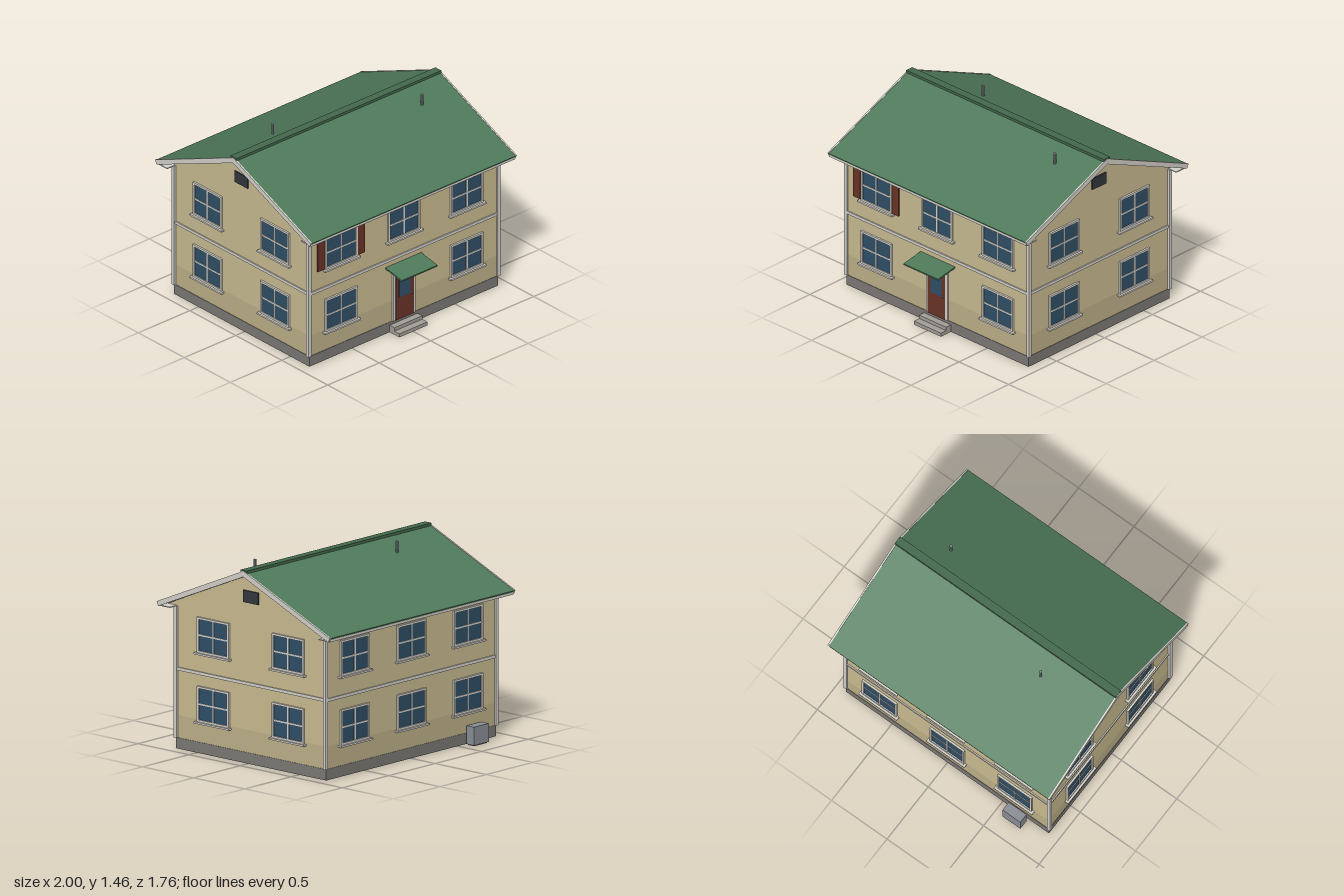
import * as THREE from 'three';

const mat = (color) => new THREE.MeshStandardMaterial({ color, flatShading: true });
const M = {
  wall: mat(0xcbbd92), wallLow: mat(0xbfb189), trim: mat(0xd6d3cc), base: mat(0x7d7a76),
  roof: mat(0x4f7a5a), ridge: mat(0x44694d), glass: mat(0x2f5068), brown: mat(0x6b3428),
  dark: mat(0x34383d), metal: mat(0x8b9096), step: mat(0xa3a099),
};
const ZC = -0.03;            // centre of the house in z
const HX = 0.912, HZ = 0.732; // half width and half depth of the walls
const EAVE = 1.063;

// Box given by its limits on each axis
function box(parent, name, material, [x0, x1], [y0, y1], [z0, z1]) {
  const mesh = new THREE.Mesh(new THREE.BoxGeometry(x1 - x0, y1 - y0, z1 - z0), material);
  mesh.position.set((x0 + x1) / 2, (y0 + y1) / 2, (z0 + z1) / 2);
  mesh.name = name;
  parent.add(mesh);
  return mesh;
}

// Prism with its outline in the z-y plane, running from x0 to x1
function prism(parent, name, material, points, x0, x1) {
  const shape = new THREE.Shape(points.map(([z, y]) => new THREE.Vector2(-z, y)));
  const geo = new THREE.ExtrudeGeometry(shape, { depth: x1 - x0, bevelEnabled: false });
  geo.rotateY(Math.PI / 2);
  geo.translate(x0, 0, ZC);
  const mesh = new THREE.Mesh(geo, material);
  mesh.name = name;
  parent.add(mesh);
}

// Rectangular frame with an opening, lying in the x-y plane
function frame(parent, name, [x0, x1], [y0, y1], b, bottom, depth) {
  const shape = new THREE.Shape();
  shape.moveTo(x0, y0).lineTo(x1, y0).lineTo(x1, y1).lineTo(x0, y1).closePath();
  const hole = new THREE.Path();
  hole.moveTo(x0 + b, y0 + bottom).lineTo(x0 + b, y1 - b).lineTo(x1 - b, y1 - b).lineTo(x1 - b, y0 + bottom).closePath();
  shape.holes.push(hole);
  const mesh = new THREE.Mesh(new THREE.ExtrudeGeometry(shape, { depth, bevelEnabled: false }), M.trim);
  mesh.name = name;
  parent.add(mesh);
}

// Four-pane window facing +z, with its wall plane at z = 0
function windowUnit() {
  const g = new THREE.Group();
  g.name = 'window';
  frame(g, 'windowFrame', [-0.155, 0.155], [-0.133, 0.133], 0.016, 0.016, 0.015);
  box(g, 'glass', M.glass, [-0.14, 0.14], [-0.118, 0.118], [-0.005, 0.006]);
  box(g, 'verticalBar', M.trim, [-0.006, 0.006], [-0.118, 0.118], [0, 0.011]);
  box(g, 'horizontalBar', M.trim, [-0.14, 0.14], [-0.006, 0.006], [0, 0.011]);
  box(g, 'sill', M.trim, [-0.172, 0.172], [-0.145, -0.132], [0, 0.031]);
  return g;
}

export function createModel() {
  const house = new THREE.Group();
  house.name = 'house';

  // Foundation and walls
  box(house, 'foundation', M.base, [-0.915, 0.915], [0, 0.082], [ZC - 0.735, ZC + 0.735]);
  box(house, 'lowerWall', M.wallLow, [-HX, HX], [0.082, 0.25], [ZC - HZ, ZC + HZ]);
  box(house, 'upperWall', M.wall, [-HX, HX], [0.25, EAVE], [ZC - HZ, ZC + HZ]);
  prism(house, 'gable', M.wall, [[-0.825, EAVE], [0.825, EAVE], [0, 1.42]], -HX, HX);

  // Corner posts and the band between the storeys
  for (const sx of [-1, 1]) {
    for (const sz of [-1, 1]) {
      const post = box(house, 'cornerPost', M.trim, [-0.0135, 0.0135], [0.082, EAVE], [-0.0135, 0.0135]);
      post.position.x = sx * 0.917;
      post.position.z = ZC + sz * 0.731;
    }
  }
  box(house, 'storeyBand', M.trim, [-0.921, 0.921], [0.585, 0.608], [ZC - 0.741, ZC + 0.741]);

  // Roof: green covering over a pale deck, with barge boards on the gable ends
  const chevron = (top, bottom) => [
    [-0.846 + top * 0.4, 1.09 - top * 0.83], [-0.846 + bottom * 0.4, 1.09 - bottom * 0.83],
    [0, 1.453 - bottom * 1.09],
    [0.846 - bottom * 0.4, 1.09 - bottom * 0.83], [0.846 - top * 0.4, 1.09 - top * 0.83],
    [0, 1.453 - top * 1.09],
  ];
  prism(house, 'roofCovering', M.roof, chevron(0, 0.012), -0.988, 0.988);
  prism(house, 'roofDeck', M.trim, chevron(0.012, 0.034), -0.988, 0.988);
  for (const x of [-1, 0.988]) prism(house, 'bargeBoard', M.trim, chevron(-0.003, 0.037), x, x + 0.012);
  box(house, 'ridgeCap', M.ridge, [-0.995, 0.995], [1.44, 1.46], [ZC - 0.032, ZC + 0.032]);
  for (const s of [-1, 1]) {
    const z = ZC + s * 0.832;
    box(house, 'fascia', M.trim, [-0.99, 0.99], [1.06, 1.086], [z - 0.007, z + 0.007]);
    const soffit = box(house, 'soffit', M.trim, [-0.99, 0.99], [1.06, 1.067], [-0.05, 0.05]);
    soffit.position.z = ZC + s * 0.778;
    box(house, 'gableVent', M.dark, s > 0 ? [HX, 0.922] : [-0.922, -HX], [1.2, 1.29], [-0.103, 0.042]);
  }

  // Vent pipes
  for (const [x, z] of [[0.66, 0.165], [-0.44, -0.225]]) {
    const pipe = new THREE.Mesh(new THREE.CylinderGeometry(0.011, 0.011, 0.11, 10), M.metal);
    pipe.position.set(x, 1.397, z);
    pipe.name = 'ventPipe';
    house.add(pipe);
  }

  // Windows on both storeys of all four sides
  const addWindow = (x, y, z, turn) => {
    const w = windowUnit();
    w.position.set(x, y, z);
    w.rotation.y = turn;
    house.add(w);
  };
  for (const y of [0.368, 0.883]) {
    for (const x of [-0.61, 0, 0.61]) {
      if (x !== 0 || y > 0.5) addWindow(x, y, ZC + HZ, 0);
      addWindow(x, y, ZC - HZ, Math.PI);
    }
    for (const s of [-1, 1]) {
      for (const dz of [-0.366, 0.366]) addWindow(s * HX, y, ZC + dz, s * Math.PI / 2);
    }
  }

  // Shutters beside one front window
  for (const x of [-0.84, -0.452]) {
    box(house, 'shutter', M.brown, [x, x + 0.067], [0.756, 1.0], [0.7, 0.714]);
  }

  // Front door
  const door = new THREE.Group();
  door.name = 'frontDoor';
  door.position.z = ZC + HZ;
  frame(door, 'doorFrame', [-0.108, 0.108], [0.082, 0.48], 0.021, 0.001, 0.013);
  box(door, 'doorPanel', M.brown, [-0.087, 0.087], [0.083, 0.459], [-0.005, 0.016]);
  box(door, 'doorGlass', M.glass, [-0.054, 0.054], [0.262, 0.418], [0.01, 0.019]);
  const knob = new THREE.Mesh(new THREE.SphereGeometry(0.008, 10, 8), M.metal);
  knob.position.set(0.063, 0.265, 0.022);
  knob.name = 'doorKnob';
  door.add(knob);
  house.add(door);

  // Sloping canopy over the door
  prism(house, 'doorCanopy', M.roof, [[0.725, 0.534], [0.908, 0.5], [0.91, 0.512], [0.725, 0.547]], -0.174, 0.174);

  // Entrance steps
  box(house, 'lowerStep', M.step, [-0.136, 0.136], [0, 0.029], [0.7, 0.811]);
  box(house, 'upperStep', M.step, [-0.136, 0.136], [0.029, 0.057], [0.7, 0.756]);

  // Outdoor cooling unit at the back
  box(house, 'coolingUnit', M.metal, [-0.73, -0.57], [0.008, 0.145], [-0.863, -0.788]);
  box(house, 'coolingUnitFoot', M.base, [-0.72, -0.58], [0, 0.008], [-0.855, -0.796]);

  return house;
}
